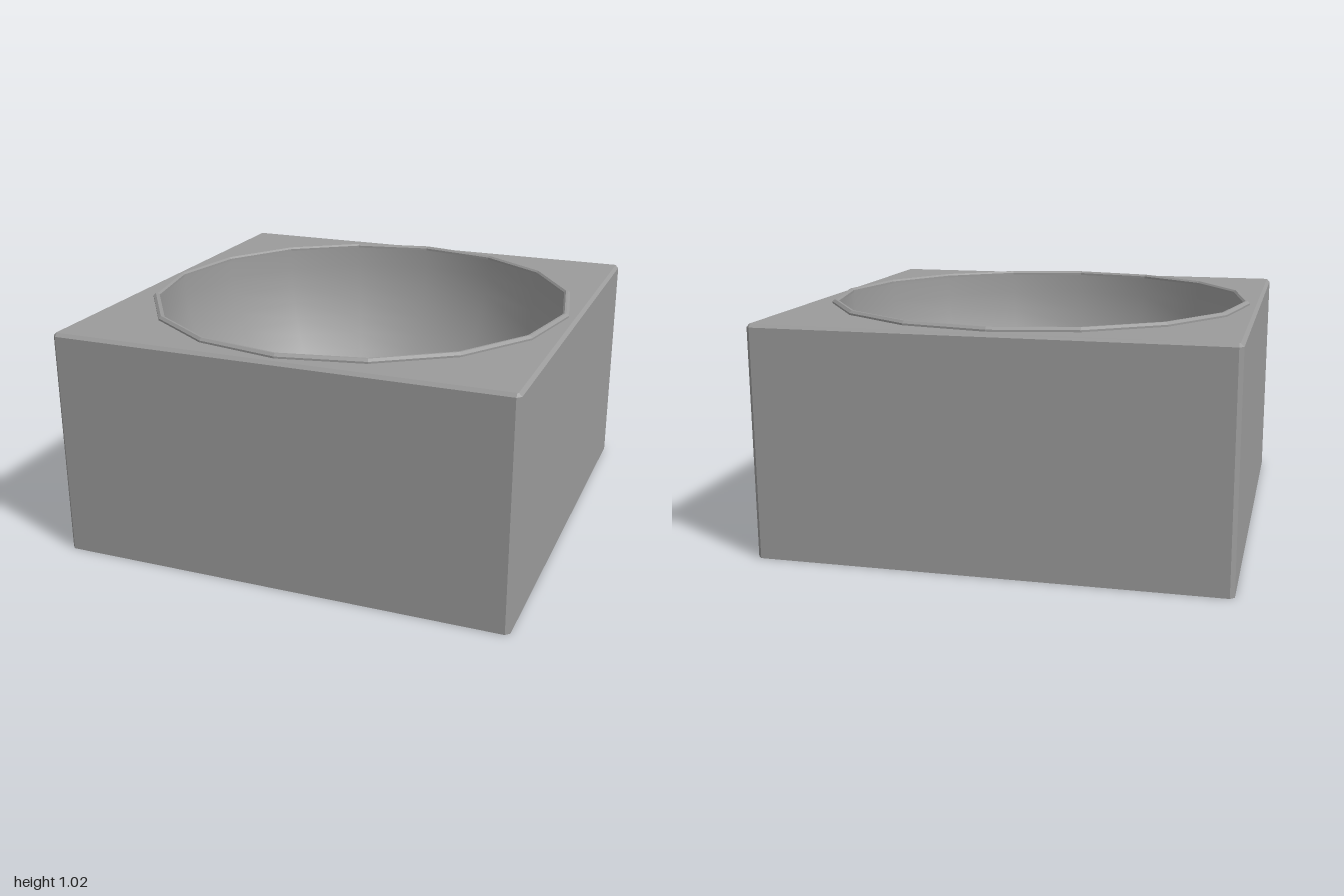
import * as THREE from 'three';

const SIDES = 16;       // sides of the bowl opening
const EDGE = 0.982;     // where the straight side ends and the corner chamfer starts
const INSET = 0.986;    // half width inside the top chamfer
const FOOT = 0.975;     // half width of the recess underneath
const RIM_R = 0.958, BOWL_R = 0.93, TOP = 1.0, FLOOR = 0.024;

// Square with cut corners, counter-clockwise
function outline(h) {
  const e = Math.min(EDGE, h - 0.002);
  return [[h, -e], [h, e], [e, h], [-e, h], [-h, e], [-h, -e], [-e, -h], [e, -h]]
    .map(([x, y]) => new THREE.Vector2(x, y));
}

// Walls joining a list of [half width, height] outlines
function wallGeometry(levels) {
  const pos = [];
  const loops = levels.map(([h, y]) => outline(h).map(p => [p.x, y, -p.y]));
  for (let k = 0; k + 1 < loops.length; k++) {
    const lo = loops[k], hi = loops[k + 1];
    for (let i = 0; i < lo.length; i++) {
      const j = (i + 1) % lo.length;
      pos.push(...lo[i], ...lo[j], ...hi[j], ...lo[i], ...hi[j], ...hi[i]);
    }
  }
  const g = new THREE.BufferGeometry();
  g.setAttribute('position', new THREE.Float32BufferAttribute(pos, 3));
  g.computeVertexNormals();
  return g;
}

export function createModel() {
  const group = new THREE.Group();
  const flat = new THREE.MeshStandardMaterial({ color: 0x9b9b9b, flatShading: true });
  const smooth = new THREE.MeshStandardMaterial({ color: 0x9b9b9b });
  const add = (name, geometry, material) => {
    const mesh = new THREE.Mesh(geometry, material);
    mesh.name = name;
    group.add(mesh);
  };

  // Block sides: recess lip, foot, wall, top chamfer
  add('blockWalls', wallGeometry([[FOOT, FLOOR], [FOOT, 0], [1, 0], [1, 0.986], [INSET, TOP]]), flat);

  // Top face with the polygonal opening
  const top = new THREE.Shape(outline(INSET));
  const hole = [];
  for (let i = 0; i < SIDES; i++) {
    const a = (i / SIDES) * Math.PI * 2;
    hole.push(new THREE.Vector2(Math.cos(a) * RIM_R, Math.sin(a) * RIM_R));
  }
  top.holes.push(new THREE.Path(hole));
  add('topFace', new THREE.ShapeGeometry(top).rotateX(-Math.PI / 2).translate(0, TOP, 0), flat);

  // Underside, slightly recessed
  add('underside', new THREE.ShapeGeometry(new THREE.Shape(outline(FOOT)))
    .rotateX(Math.PI / 2).translate(0, FLOOR, 0), flat);

  // Raised lip round the opening, bevelled on its outer edge
  const lip = [[RIM_R, TOP], [RIM_R, 1.008], [0.947, 1.018], [0.938, 1.018], [BOWL_R, 1.01], [BOWL_R, TOP]];
  add('bowlRim', new THREE.LatheGeometry(lip.map(p => new THREE.Vector2(...p)), SIDES), flat);

  // Hemispherical bowl, rim down to the centre
  const bowl = [];
  for (let i = 0; i <= 16; i++) {
    const a = (i / 16) * Math.PI / 2;
    bowl.push(new THREE.Vector2(i === 16 ? 0 : Math.cos(a) * BOWL_R, TOP - Math.sin(a) * BOWL_R));
  }
  add('bowl', new THREE.LatheGeometry(bowl, SIDES), smooth);

  return group;
}
